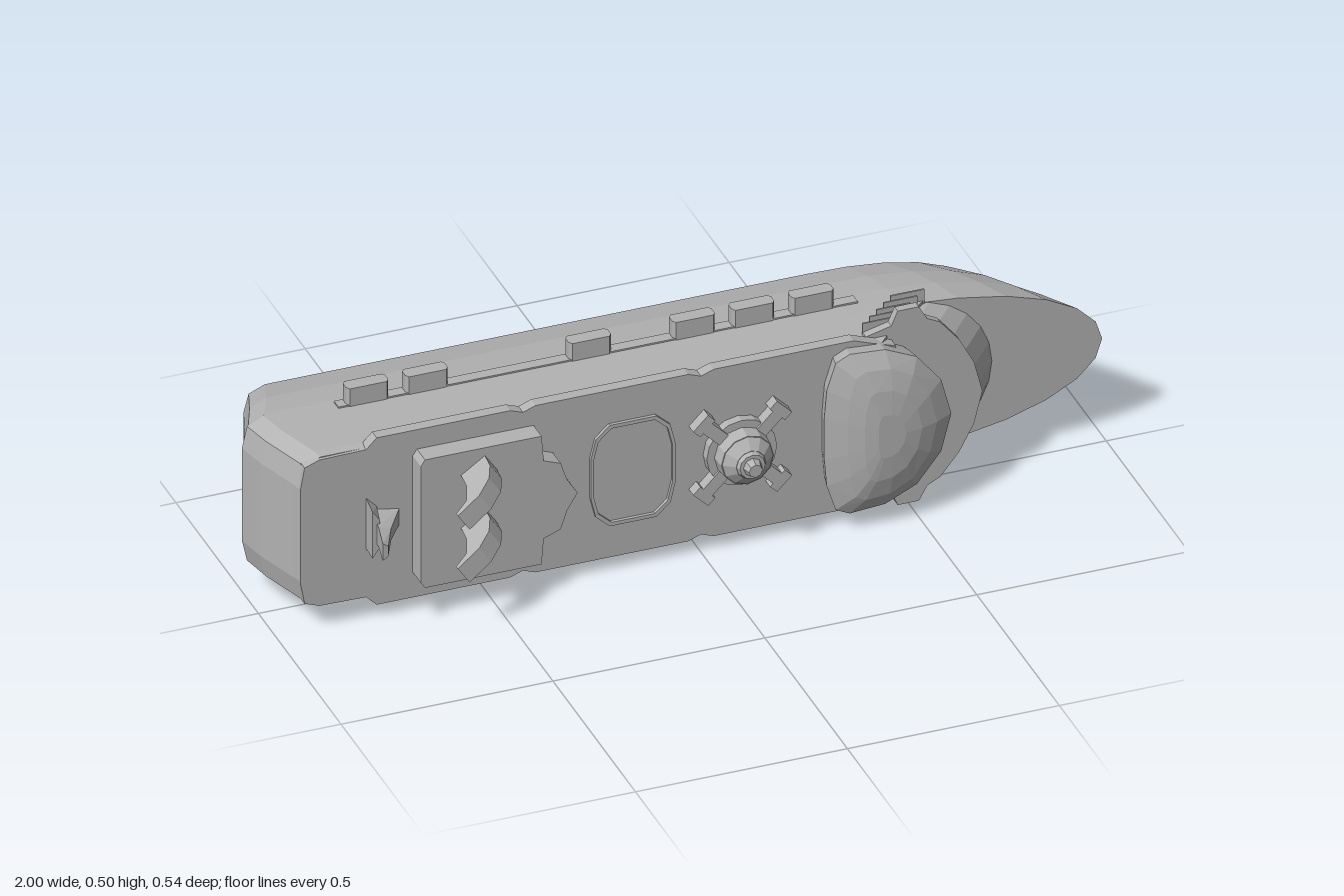
import * as THREE from 'three';

// The ship lies on its side: bow toward +x, decks toward +z, beam along y around CY.
const CY = 0.25;

export function createModel() {
  const ship = new THREE.Group();
  ship.name = 'ship';
  const grey = new THREE.MeshStandardMaterial({ color: 0xb3b3b3 });

  function add(name, geometry, x = 0, y = 0, z = 0) {
    const g = geometry.index ? geometry.toNonIndexed() : geometry;
    g.computeVertexNormals();
    const mesh = new THREE.Mesh(g, grey);
    mesh.name = name;
    mesh.position.set(x, CY + y, z);
    ship.add(mesh);
    return mesh;
  }
  const box = (name, x0, x1, y0, y1, z0, z1) =>
    add(name, new THREE.BoxGeometry(x1 - x0, y1 - y0, z1 - z0), (x0 + x1) / 2, (y0 + y1) / 2, (z0 + z1) / 2);

  // Mirror a half outline (stern to bow, y >= 0) into a counter-clockwise loop
  const mirror = (half) => [
    ...half.map(([x, y]) => [x, -y]),
    ...half.slice().reverse().filter(([, y]) => y > 1e-6),
  ];

  // Skin a stack of equal-length loops [{ z, pts }] and cap both ends
  function loft(levels) {
    const pos = [];
    const tri = (...v) => v.forEach((p) => pos.push(...p));
    const rings = levels.map(({ z, pts }) => pts.map(([x, y]) => [x, y, z]));
    const n = rings[0].length;
    const centre = (r) => [r.reduce((s, p) => s + p[0], 0) / n, 0, r[0][2]];
    const low = rings[0], top = rings[rings.length - 1];
    for (let i = 0; i < n; i++) {
      const j = (i + 1) % n;
      for (let k = 0; k + 1 < rings.length; k++) {
        const a = rings[k], b = rings[k + 1];
        tri(a[i], a[j], b[j]);
        tri(a[i], b[j], b[i]);
      }
      tri(centre(low), low[j], low[i]);
      tri(centre(top), top[i], top[j]);
    }
    const g = new THREE.BufferGeometry();
    g.setAttribute('position', new THREE.Float32BufferAttribute(pos, 3));
    return g;
  }

  // Flat plate in xy from z0 to z1
  function plate(name, pts, z0, z1, hole) {
    const shape = new THREE.Shape(pts.map(([x, y]) => new THREE.Vector2(x, y)));
    if (hole) shape.holes.push(new THREE.Path(hole.map(([x, y]) => new THREE.Vector2(x, y))));
    return add(name, new THREE.ExtrudeGeometry(shape, { depth: z1 - z0, bevelEnabled: false }), 0, 0, z0);
  }

  const sternEnd = (s, w) => [[s, 0.62 * w], [s + 0.012, 0.9 * w], [s + 0.05, w]];
  // Rounded bow from x0 to x1
  const bowEnd = (x0, x1, w, steps = 7, p = 2.4) => Array.from({ length: steps + 1 }, (_, i) => {
    const t = Math.sin((i / steps) * Math.PI / 2);
    return [x0 + (x1 - x0) * t, w * Math.sqrt(Math.max(0, 1 - t ** p))];
  });

  // Hull: z, stern x, half beam, bow x
  add('hull', loft([
    [-0.27, -0.93, 0.16, 0.82],
    [-0.18, -0.963, 0.184, 0.89],
    [-0.105, -0.995, 0.192, 0.945],
    [-0.1, -1.0, 0.192, 0.948],
    [-0.025, -0.985, 0.193, 1.0],
  ].map(([z, s, w, b]) => ({ z, pts: mirror([...sternEnd(s, w), ...bowEnd(0.4, b, w)]) }))));

  // Superstructure with raked front
  add('superstructure', loft([
    [-0.025, -0.985, 0.193, 0.58],
    [0.085, -0.95, 0.193, 0.45],
    [0.105, -0.945, 0.19, 0.43],
  ].map(([z, s, w, f]) => ({ z, pts: mirror([...sternEnd(s, w), [f, w]]) }))));

  // Overhanging top deck with notched edges
  plate('topDeck', mirror([
    [-0.945, 0.12], [-0.935, 0.175], [-0.9, 0.188], [-0.79, 0.19], [-0.765, 0.215],
    [-0.45, 0.215], [-0.42, 0.204], [-0.39, 0.215], [-0.03, 0.215], [0, 0.204], [0.03, 0.215],
    [0.36, 0.215], [0.4, 0.2], [0.46, 0.18],
  ]), 0.085, 0.113);

  // Lower bridge front
  add('bridgeFront', loft([[-0.025, 0.74], [0.065, 0.665]].map(([z, f]) => ({
    z, pts: mirror([[0.36, 0.19], ...bowEnd(f - 0.2, f, 0.19, 6, 2)]),
  }))));

  // Bridge deck with side wings
  plate('bridgeDeck', mirror([
    [0.4, 0.2], [0.46, 0.215], [0.475, 0.25], [0.525, 0.25], [0.545, 0.215],
    [0.575, 0.2], [0.62, 0.145], [0.655, 0.08], [0.675, 0],
  ]), 0.065, 0.085);

  // Domed roof behind the bridge: z, rear x, front x, half width
  add('dome', loft([
    [0.085, 0.295, 0.56, 0.195],
    [0.115, 0.285, 0.57, 0.2],
    [0.148, 0.277, 0.577, 0.205],
    [0.17, 0.325, 0.535, 0.165],
    [0.183, 0.36, 0.495, 0.115],
    [0.189, 0.39, 0.455, 0.055],
  ].map(([z, r, f, w]) => {
    const d = f - r;
    return { z, pts: mirror([
      [r, 0.25 * w], [r + 0.02 * d, 0.6 * w], [r + 0.09 * d, 0.92 * w], [r + 0.2 * d, w],
      [r + 0.48 * d, w * 0.97], [r + 0.73 * d, 0.8 * w], [r + 0.92 * d, 0.45 * w], [f, 0],
    ]) };
  })));

  for (const s of [-1, 1]) {
    // Boat recess strip and lifeboats along each side
    const side = (name, x0, x1, a, b, z0, z1) =>
      box(name, x0, x1, Math.min(s * a, s * b), Math.max(s * a, s * b), z0, z1);
    side('boatStrip', -0.785, 0.44, 0.185, 0.196, -0.095, -0.067);
    for (const x of [-0.715, -0.575, -0.19, 0.055, 0.195, 0.335]) {
      const boat = [[x - 0.05, -0.091], [x - 0.044, -0.1], [x + 0.044, -0.1], [x + 0.05, -0.091],
        [x + 0.05, -0.073], [x + 0.044, -0.065], [x - 0.044, -0.065], [x - 0.05, -0.073]];
      const g = new THREE.ExtrudeGeometry(
        new THREE.Shape(boat.map(([a, b]) => new THREE.Vector2(a, -b))), { depth: 0.05, bevelEnabled: false });
      g.rotateX(-Math.PI / 2).rotateX(Math.PI / 2);
      // stand the boat outline in the xz plane
      g.rotateX(Math.PI / 2).scale(1, 1, 1);
      g.translate(0, s > 0 ? 0.238 : -0.188, 0);
      g.applyMatrix4(new THREE.Matrix4().makeRotationZ(0));
      const p = g.attributes.position;
      g.computeBoundingBox();
      const shift = -0.0825 - (g.boundingBox.min.z + g.boundingBox.max.z) / 2;
      for (let i = 0; i < p.count; i++) p.setZ(i, p.getZ(i) + shift);
      add('lifeboat', g);
    }
    // Stepped balcony slats
    for (let i = 0; i < 5; i++) {
      const x = 0.4 + i * 0.025, z = 0.062 - i * 0.0215;
      side('balcony', x, x + 0.08, 0.15, 0.222, z - 0.002, z + 0.002);
    }
  }

  // Funnel deck
  plate('funnelDeck', mirror([
    [-0.68, 0.15], [-0.67, 0.165], [-0.395, 0.165], [-0.39, 0.1], [-0.35, 0.085], [-0.335, 0.04], [-0.31, 0],
  ]), 0.11, 0.162);

  // Two parallel swept funnels
  const fin = new THREE.Shape();
  fin.moveTo(0.06, 0.155);
  fin.lineTo(0.128, 0.155);
  [[0.124, 0.2], [0.105, 0.235], [0.065, 0.26], [0, 0.268], [0, 0.258], [0.035, 0.245], [0.055, 0.205]]
    .forEach(([u, z]) => fin.lineTo(u, z));
  for (const y of [0.052, -0.084]) {
    const g = new THREE.ExtrudeGeometry(fin, { depth: 0.05, bevelEnabled: false });
    g.translate(0, 0, -0.025).rotateX(Math.PI / 2).rotateZ(0.6);
    add('funnel', g, -0.62, y, 0);
  }

  // Swept mast with cross wing at the stern
  const mast = (s, f, w, z) => ({ z, pts: [[s, -w], [f, -w * 0.6], [f, w * 0.6], [s, w]] });
  add('sternMast', loft([mast(-0.78, -0.71, 0.035, 0.11), mast(-0.785, -0.755, 0.025, 0.175), mast(-0.8, -0.787, 0.022, 0.24)]));
  add('sternWing', loft([mast(-0.79, -0.765, 0.065, 0.113), mast(-0.795, -0.778, 0.06, 0.165)]));

  // Pool rim
  const oval = (k) => [[-0.055, -0.13], [0.055, -0.13], [0.088, -0.1], [0.1, -0.05], [0.1, 0.05], [0.088, 0.1],
    [0.055, 0.13], [-0.055, 0.13], [-0.088, 0.1], [-0.1, 0.05], [-0.1, -0.05], [-0.088, -0.1]]
    .map(([x, y]) => [-0.163 + x * k, y * k]);
  plate('poolRim', oval(1), 0.11, 0.121, oval(0.93));

  // Radar tower with crossed feet
  const TX = 0.088;
  const tower = (name, rTop, rBase, z0, z1, sides = 12) =>
    add(name, new THREE.CylinderGeometry(rTop, rBase, z1 - z0, sides).rotateX(Math.PI / 2), TX, 0, (z0 + z1) / 2);
  tower('towerBase', 0.083, 0.083, 0.11, 0.135, 16);
  for (const a of [1, -1]) {
    const arm = box('towerFoot', TX - 0.135, TX + 0.135, -0.015, 0.015, 0.11, 0.14);
    arm.rotation.z = a * Math.PI / 4;
    for (const e of [1, -1]) {
      const pad = box('towerPad', -0.012, 0.012, -0.025, 0.025, 0.11, 0.14);
      pad.position.x = TX + e * 0.128 * Math.SQRT1_2;
      pad.position.y = CY + e * a * 0.128 * Math.SQRT1_2;
      pad.rotation.z = a * Math.PI / 4;
    }
  }
  tower('towerDrum', 0.062, 0.065, 0.135, 0.17);
  tower('towerCone', 0.035, 0.06, 0.17, 0.19);
  tower('towerCap', 0.03, 0.034, 0.19, 0.2);
  tower('towerTip', 0.016, 0.022, 0.2, 0.22, 8);
  return ship;
}
